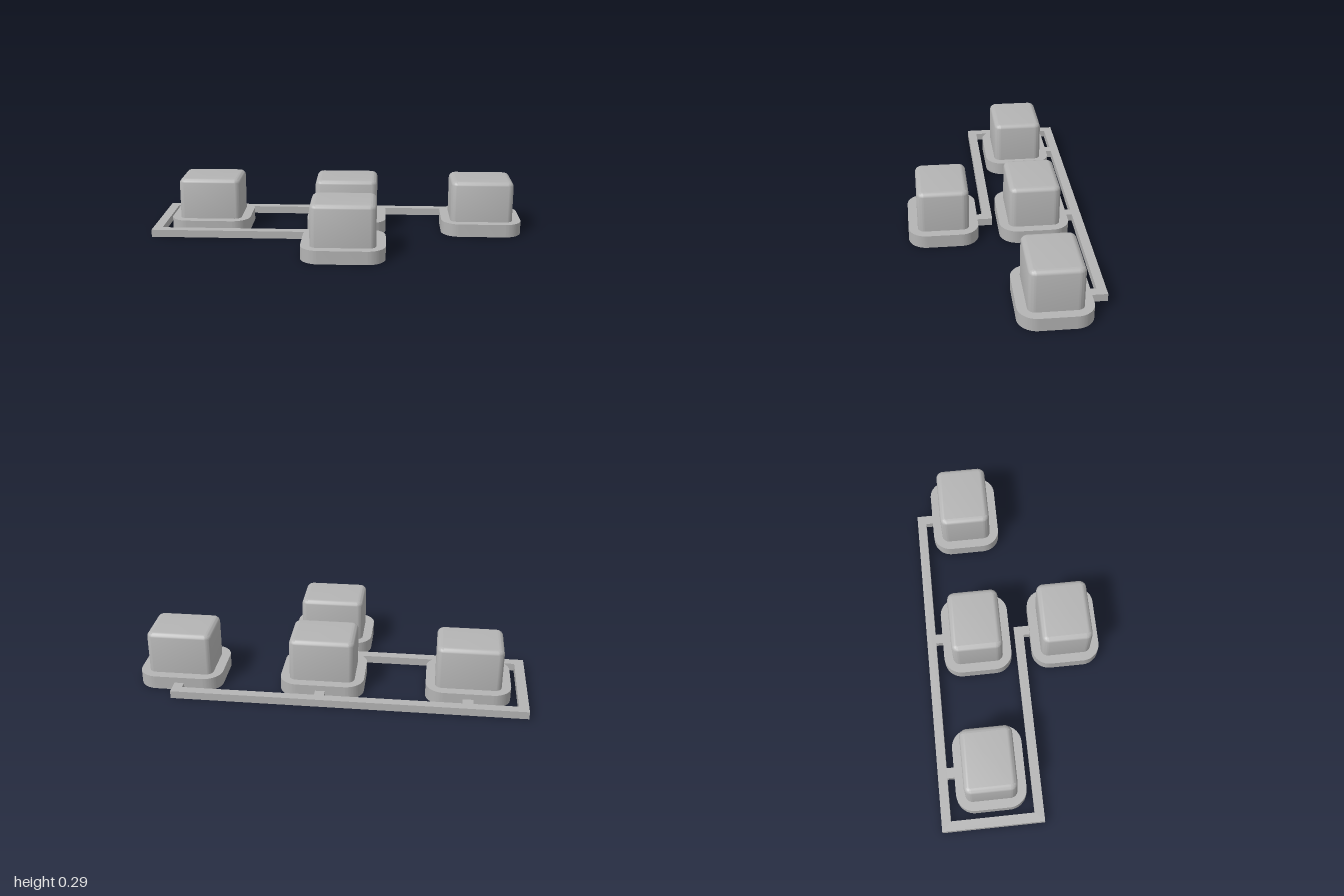
import * as THREE from 'three';
import { toCreasedNormals } from 'three/addons/utils/BufferGeometryUtils.js';

const RAIL_H = 0.04, FLANGE_H = 0.07, CAP_TOP = 0.29, BEVEL = 0.028;

function roundedRect(w, d, r) {
  const x = w / 2 - r, y = d / 2 - r, s = new THREE.Shape();
  s.absarc(x, y, r, 0, Math.PI / 2);
  s.absarc(-x, y, r, Math.PI / 2, Math.PI);
  s.absarc(-x, -y, r, Math.PI, Math.PI * 1.5);
  s.absarc(x, -y, r, Math.PI * 1.5, Math.PI * 2);
  s.closePath();
  return s;
}

// Rounded base plate with a round socket in its underside
function flangeGeometry() {
  const shape = roundedRect(0.432, 0.366, 0.095);
  shape.holes.push(new THREE.Path().absarc(0, 0, 0.115, 0, Math.PI * 2, true));
  const g = new THREE.ExtrudeGeometry(shape, { depth: FLANGE_H, bevelEnabled: false, curveSegments: 16 });
  return toCreasedNormals(g.rotateX(-Math.PI / 2), 0.6);
}

// Key cap with a rounded top edge and a flat underside
function capGeometry() {
  const shape = roundedRect(0.336 - 2 * BEVEL, 0.269 - 2 * BEVEL, 0.01);
  const g = new THREE.ExtrudeGeometry(shape, {
    depth: CAP_TOP - FLANGE_H - BEVEL, bevelEnabled: true,
    bevelSize: BEVEL, bevelThickness: BEVEL, bevelSegments: 6, curveSegments: 6,
  });
  g.rotateX(-Math.PI / 2).translate(0, FLANGE_H, 0);
  // flatten the lower bevel onto the flange
  const p = g.attributes.position;
  for (let i = 0; i < p.count; i++) p.setY(i, Math.max(p.getY(i), FLANGE_H));
  return toCreasedNormals(g, 0.6);
}

// Flat rail outline, including the short stubs that reach each button
function railGeometry() {
  const pts = [
    [-1, -0.465], [0.805, -0.465], [0.805, -0.375], [0.755, -0.375], [0.755, -0.417],
    [0.073, -0.417], [0.073, -0.375], [0.022, -0.375], [0.022, -0.417],
    [-0.673, -0.417], [-0.673, -0.375], [-0.727, -0.375], [-0.727, -0.417],
    [-0.95, -0.417], [-0.95, 0.016], [0.073, 0.016], [0.073, 0.102],
    [0.022, 0.102], [0.022, 0.065], [-1, 0.065],
  ];
  const shape = new THREE.Shape(pts.map(([x, z]) => new THREE.Vector2(x, -z)));
  const g = new THREE.ExtrudeGeometry(shape, { depth: RAIL_H, bevelEnabled: false });
  return g.rotateX(-Math.PI / 2);
}

export function createModel() {
  const model = new THREE.Group();
  const grey = new THREE.MeshStandardMaterial({ color: 0xb4b4b4 });
  grey.name = 'light grey';

  const add = (parent, name, geometry) => {
    const mesh = new THREE.Mesh(geometry, grey);
    mesh.name = name;
    parent.add(mesh);
  };

  add(model, 'connectingRail', railGeometry());

  // Three buttons along the back, one in front of the middle
  const flange = flangeGeometry(), cap = capGeometry();
  const buttons = [
    ['rightButton', -0.7, -0.195], ['middleButton', 0.047, -0.195],
    ['leftButton', 0.784, -0.195], ['frontButton', 0.047, 0.282],
  ];
  for (const [name, x, z] of buttons) {
    const button = new THREE.Group();
    button.name = name;
    button.position.set(x, 0, z);
    add(button, 'flange', flange);
    add(button, 'cap', cap);
    model.add(button);
  }
  return model;
}
